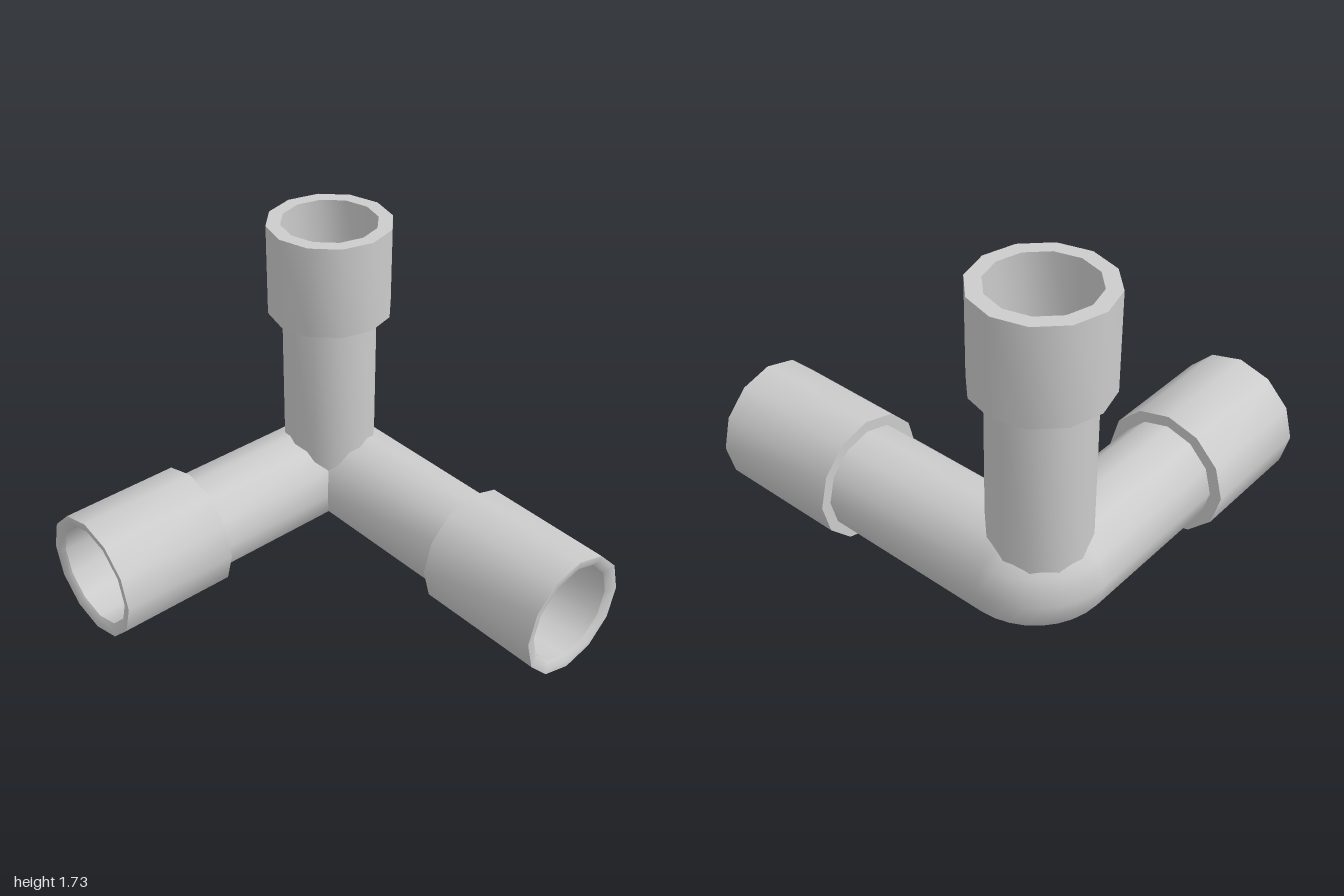
import * as THREE from 'three';
import { toCreasedNormals } from 'three/addons/utils/BufferGeometryUtils.js';

const SIDES = 12;
const AXIS_Y = 0.32;                   // height of the two horizontal arms
const PIPE_H = 0.253, PIPE_V = 0.26;   // horizontal and vertical pipe radii
const BEND = { x: -0.553, z: -0.48, r: 0.13 };
const FRONT_X = BEND.x - BEND.r, SIDE_Z = BEND.z - BEND.r;

const material = new THREE.MeshStandardMaterial({ color: 0xcccccc, side: THREE.DoubleSide });

// Open pipe swept from the front arm round the bend to the side arm.
// Points inside the bend centre meet on the mitre line.
function elbowGeometry(frontEnd, sideEnd) {
  const stations = [{ a: 0, z: frontEnd }];
  const steps = 8;
  for (let i = 0; i <= steps; i++) stations.push({ a: (i / steps) * Math.PI / 2 });
  stations.push({ a: Math.PI / 2, x: sideEnd });

  const positions = [], index = [];
  stations.forEach((s, row) => {
    for (let j = 0; j < SIDES; j++) {
      const t = (j / SIDES) * Math.PI * 2;
      const d = BEND.r + PIPE_H * Math.cos(t);
      const x = d < 0 ? BEND.x - d : BEND.x - d * Math.cos(s.a);
      const z = d < 0 ? BEND.z - d : BEND.z - d * Math.sin(s.a);
      positions.push(s.x ?? x, AXIS_Y + PIPE_V * Math.sin(t), s.z ?? z);
      if (row > 0) {
        const k = (j + 1) % SIDES, p = (row - 1) * SIDES, q = row * SIDES;
        index.push(p + j, p + k, q + j, p + k, q + k, q + j);
      }
    }
  });
  const geometry = new THREE.BufferGeometry();
  geometry.setAttribute('position', new THREE.Float32BufferAttribute(positions, 3));
  geometry.setIndex(index);
  geometry.computeVertexNormals();
  return geometry;
}

// Twelve-sided turned part with sharp steps
function turned(name, profile, scaleX = 1, scaleZ = 1) {
  const points = profile.map(([r, y]) => new THREE.Vector2(r, y));
  const lathe = new THREE.LatheGeometry(points, SIDES).scale(scaleX, 1, scaleZ);
  const mesh = new THREE.Mesh(toCreasedNormals(lathe, 0.7), material);
  mesh.name = name;
  return mesh;
}

// Socket with a softened inner lip
function socket(name, length, scaleX, scaleZ) {
  return turned(name, [
    [0.255, 0], [0.315, 0], [0.315, length], [0.285, length],
    [0.255, length - 0.02], [0.255, 0],
  ], scaleX, scaleZ);
}

export function createModel() {
  const group = new THREE.Group();
  group.name = 'threeWayPipeCorner';

  const elbow = new THREE.Mesh(elbowGeometry(0.33, 0.35), material);
  elbow.name = 'elbowPipe';

  const frontSocket = socket('frontSocket', 0.6, 1, 1);
  frontSocket.rotation.x = Math.PI / 2;
  frontSocket.position.set(FRONT_X, AXIS_Y, 0.31);

  const sideSocket = socket('sideSocket', 0.67, 1, 0.965);
  sideSocket.rotation.z = -Math.PI / 2;
  sideSocket.position.set(0.33, AXIS_Y, SIDE_Z);

  // Upright pipe runs down into the elbow
  const upright = turned('uprightPipe', [[0.235, 0.38], [0.235, 1.28]]);
  const topSocket = turned('topSocket', [
    [0.235, 1.27], [0.305, 1.27], [0.305, 1.73], [0.235, 1.73], [0.235, 1.27],
  ]);
  for (const part of [upright, topSocket]) part.position.set(-0.63, 0, -0.543);

  group.add(elbow, frontSocket, sideSocket, upright, topSocket);
  return group;
}
